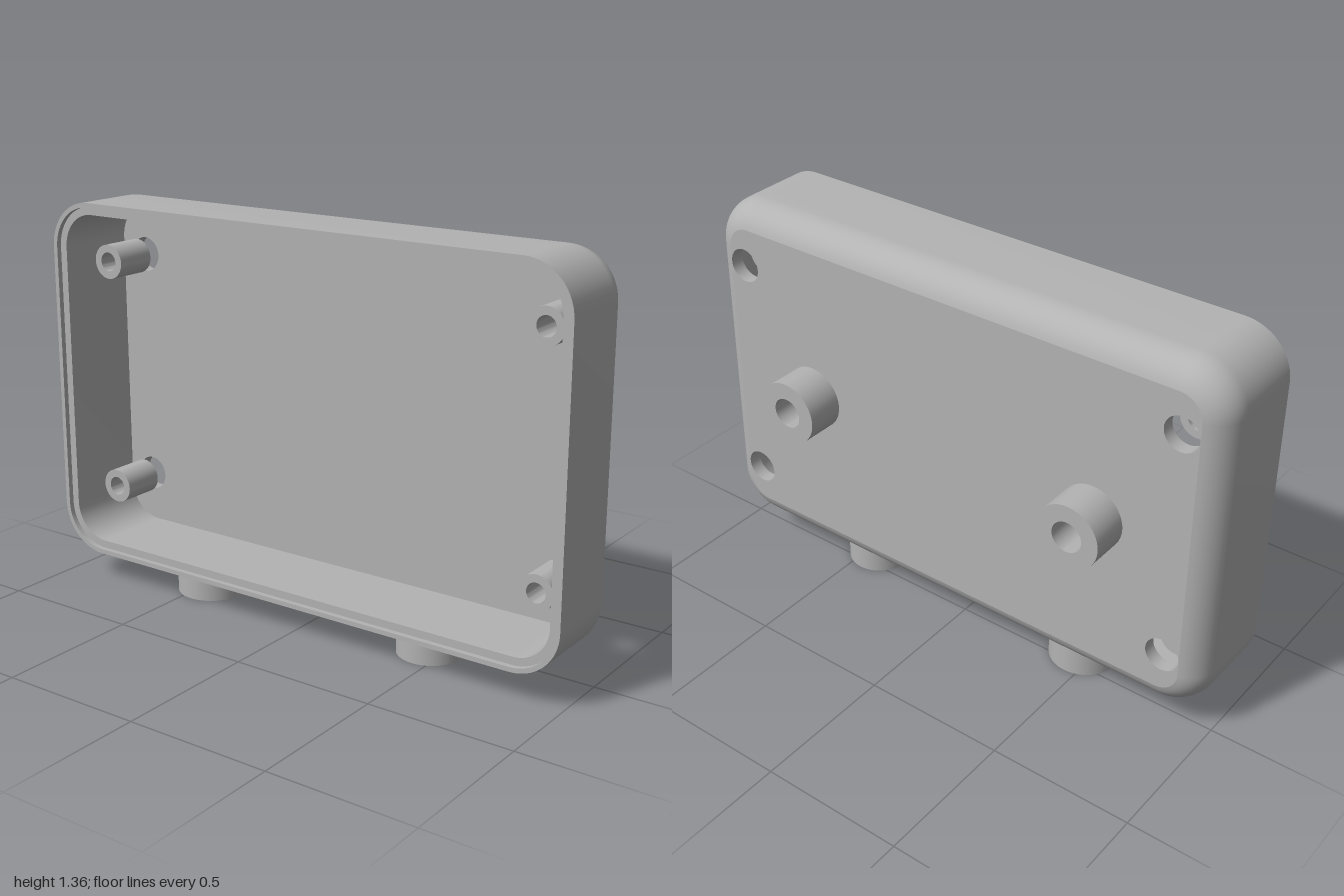
import * as THREE from 'three';
import { toCreasedNormals } from 'three/addons/utils/BufferGeometryUtils.js';

const HW = 1, HH = 0.63, CORNER = 0.165, CY = 0.73;   // case half sizes
const BACK = -0.11, FLOOR = -0.062, RIM = 0.245;
const FILLET = 0.11, WALL = 0.043;
const SCREW_X = 0.855, SCREW_Y = 0.41, SCREW_R = 0.06;
const SEG = 14;

// Rounded rectangle outline, shrunk by an inset, counter-clockwise
function outline(inset) {
  const r = CORNER - inset, pts = [];
  const corners = [[1, 1], [-1, 1], [-1, -1], [1, -1]];
  corners.forEach(([sx, sy], q) => {
    for (let i = 0; i <= SEG; i++) {
      const a = (q + i / SEG) * Math.PI / 2;
      pts.push(new THREE.Vector2(
        sx * (HW - CORNER) + r * Math.cos(a),
        sy * (HH - CORNER) + r * Math.sin(a)));
    }
  });
  return pts;
}

// Skin through outlines given as [inset, z], from back to front
function loft(profile) {
  const pos = [], idx = [], n = 4 * (SEG + 1);
  for (const [inset, z] of profile) for (const p of outline(inset)) pos.push(p.x, p.y, z);
  for (let k = 0; k < profile.length - 1; k++) {
    for (let i = 0; i < n; i++) {
      const a = k * n + i, b = k * n + (i + 1) % n;
      idx.push(a, b, b + n, a, b + n, a + n);
    }
  }
  const g = new THREE.BufferGeometry();
  g.setAttribute('position', new THREE.Float32BufferAttribute(pos, 3));
  g.setIndex(idx);
  return toCreasedNormals(g, 0.5);
}

// Flat panel with the four screw holes
function panel(inset) {
  const s = new THREE.Shape(outline(inset));
  for (const sx of [-1, 1]) for (const sy of [-1, 1]) {
    s.holes.push(new THREE.Path().absarc(sx * SCREW_X, sy * SCREW_Y, SCREW_R, 0, Math.PI * 2, true));
  }
  return new THREE.ShapeGeometry(s, 20);
}

// Hollow sleeve along z
function sleeve(rIn, rOut, z0, z1) {
  const pts = [[rIn, z0], [rOut, z0], [rOut, z1], [rIn, z1], [rIn, z0]]
    .map(([r, z]) => new THREE.Vector2(r, z));
  return toCreasedNormals(new THREE.LatheGeometry(pts, 40).rotateX(Math.PI / 2), 0.5);
}

export function createModel() {
  const model = new THREE.Group();
  model.name = 'enclosureHalf';
  const grey = new THREE.MeshStandardMaterial({ color: 0xb3b3b3, side: THREE.DoubleSide });
  grey.name = 'grey';
  const add = (name, geo, x = 0, y = CY, z = 0) => {
    const m = new THREE.Mesh(geo, grey);
    m.name = name;
    m.position.set(x, y, z);
    model.add(m);
    return m;
  };

  // Shell: back fillet, outer wall, stepped rim, inner wall
  const edge = 0.084;
  const aMax = Math.acos(1 - edge / FILLET);
  const profile = [];
  for (let i = 10; i >= 0; i--) {
    const a = aMax * i / 10;
    profile.push([FILLET * (1 - Math.cos(a)), BACK * Math.sin(a) / Math.sin(aMax)]);
  }
  profile.push([0, RIM], [0.016, RIM], [0.016, RIM - 0.018], [WALL, RIM - 0.018], [WALL, FLOOR]);
  add('shell', loft(profile));
  add('backPanel', panel(edge).rotateY(Math.PI), 0, CY, BACK);
  add('floor', panel(WALL), 0, CY, FLOOR);

  // Screw holes through the back, with posts standing just clear of them
  for (const sx of [-1, 1]) for (const sy of [-1, 1]) {
    const x = sx * SCREW_X, y = CY + sy * SCREW_Y;
    const bore = new THREE.CylinderGeometry(SCREW_R, SCREW_R, FLOOR - BACK, 40, 1, true).rotateX(Math.PI / 2);
    add('screwHole', bore, x, y, (BACK + FLOOR) / 2);
    add('screwPost', sleeve(0.033, SCREW_R, -0.02, 0.13), x, y);
  }

  // Hollow mounting bosses on the back
  for (const s of [-1, 1]) {
    add('mountingBoss', sleeve(0.054, 0.113, -0.245, BACK), s * 0.57, 0.727);
  }

  // Solid round feet under the case
  for (const [x, r] of [[-0.46, 0.123], [0.453, 0.113]]) {
    add('foot', new THREE.CylinderGeometry(r, r, 0.11, 48), x, 0.055, 0.072);
  }
  return model;
}
